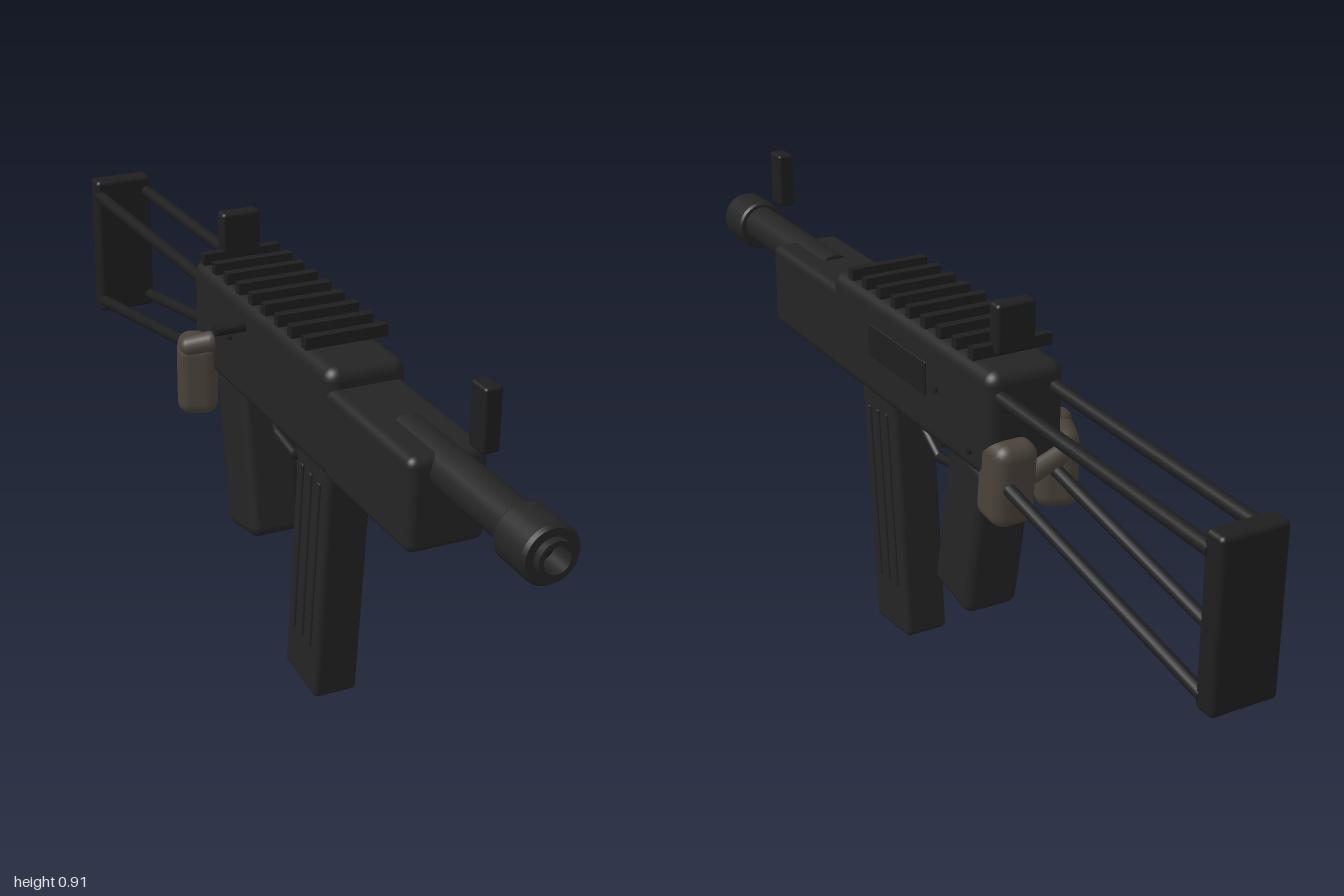
import * as THREE from 'three';
import { RoundedBoxGeometry } from 'three/addons/geometries/RoundedBoxGeometry.js';

const CX = 0.028; // centre plane of the body

export function createModel() {
  const model = new THREE.Group();
  const mat = (name, color) => {
    const m = new THREE.MeshStandardMaterial({ color });
    m.name = name;
    return m;
  };
  const body = mat('charcoal', 0x242424);
  const dark = mat('dark steel', 0x1e1e1e);
  const black = mat('bore black', 0x121212);
  const tan = mat('brown', 0x4a423a);

  const add = (name, geometry, material, x, y, z, parent = model) => {
    const mesh = new THREE.Mesh(geometry, material);
    mesh.name = name;
    mesh.position.set(x, y, z);
    parent.add(mesh);
    return mesh;
  };
  const rbox = (name, w, h, d, r, material, x, y, z, parent) =>
    add(name, new RoundedBoxGeometry(w, h, d, 3, r), material, x, y, z, parent);
  // Round rod between two points
  const rod = (name, a, b, r, material) => {
    const p = new THREE.Vector3(...a), q = new THREE.Vector3(...b);
    const dir = q.clone().sub(p);
    const mid = p.clone().add(q).multiplyScalar(0.5);
    const mesh = add(name, new THREE.CylinderGeometry(r, r, dir.length(), 16), material, mid.x, mid.y, mid.z);
    mesh.quaternion.setFromUnitVectors(new THREE.Vector3(0, 1, 0), dir.normalize());
    return mesh;
  };

  // Receiver and handguard
  rbox('receiver', 0.164, 0.222, 0.66, 0.026, body, 0.029, 0.667, 0.015);
  rbox('handguard', 0.156, 0.184, 0.34, 0.018, body, 0.026, 0.648, 0.49);

  // Barrel and hollow muzzle
  rod('barrel', [CX, 0.708, 0.5], [CX, 0.708, 0.93], 0.041, body);
  const muzzleProfile = [
    [0, 0.885], [0.051, 0.89], [0.055, 0.896], [0.055, 0.978], [0.05, 0.985], [0.035, 0.985],
    [0.035, 1.0], [0.025, 1.0], [0.025, 0.95],
  ].map(([r, z]) => new THREE.Vector2(r, z));
  // Split each profile corner so the steps stay crisp
  for (let i = 0; i < muzzleProfile.length - 1; i++) {
    const ring = add('muzzle', new THREE.LatheGeometry([muzzleProfile[i], muzzleProfile[i + 1]], 32), body, CX, 0.704, 0);
    ring.rotation.x = Math.PI / 2;
  }
  add('bore', new THREE.CircleGeometry(0.025, 24), black, CX, 0.704, 0.951);

  // Top rail slats
  for (let i = 0; i < 9; i++) {
    add('railSlat', new THREE.BoxGeometry(0.171, 0.024, 0.02), dark, CX, 0.8, 0.246 - i * 0.0615);
  }

  // Sights
  rbox('frontSight', 0.034, 0.118, 0.05, 0.006, dark, CX, 0.853, 0.762);
  rbox('rearSight', 0.084, 0.1, 0.034, 0.008, dark, CX, 0.842, -0.253);

  // Side details: charging handle, pins, ejection port
  rod('chargingHandle', [-0.117, 0.727, -0.04], [-0.04, 0.727, -0.04], 0.011, dark);
  for (const [y, z] of [[0.678, -0.11], [0.6, -0.24]]) {
    rod('receiverPin', [-0.06, y, z], [0.116, y, z], 0.007, dark);
  }
  rbox('ejectionPort', 0.008, 0.07, 0.24, 0.003, dark, 0.111, 0.685, 0.05);

  // Raked magazine with side ribs
  const magazine = new THREE.Group();
  magazine.name = 'magazine';
  magazine.position.set(CX, 0.278, 0.185);
  magazine.rotation.x = 0.098;
  model.add(magazine);
  rbox('magazineBody', 0.096, 0.545, 0.146, 0.012, body, 0, 0, 0, magazine);
  for (const side of [-1, 1]) {
    for (const z of [-0.038, 0, 0.038]) {
      rbox('magazineRib', 0.009, 0.39, 0.012, 0.003, body, side * 0.0485, 0.035, z, magazine);
    }
  }

  // Raked pistol grip
  const grip = rbox('grip', 0.12, 0.35, 0.142, 0.022, body, 0.029, 0.392, -0.153);
  grip.rotation.x = -0.19;

  // Trigger and guard
  const guardPoints = [[0.56, 0.09], [0.495, 0.09], [0.457, 0.03], [0.47, -0.062], [0.56, -0.1]]
    .map(([y, z]) => new THREE.Vector3(CX, y, z));
  const guardPath = new THREE.CurvePath();
  for (let i = 0; i < guardPoints.length - 1; i++) {
    guardPath.add(new THREE.LineCurve3(guardPoints[i], guardPoints[i + 1]));
  }
  add('triggerGuard', new THREE.TubeGeometry(guardPath, 64, 0.01, 10), dark, 0, 0, 0);
  const trigger = rbox('trigger', 0.02, 0.08, 0.016, 0.004, dark, CX, 0.53, 0.004);
  trigger.rotation.x = -0.2;

  // Brown rounded rests behind the grip
  const leftRest = rbox('restRight', 0.085, 0.165, 0.105, 0.028, tan, -0.068, 0.545, -0.257);
  leftRest.rotation.y = -0.4;
  const rightRest = rbox('restLeft', 0.09, 0.175, 0.095, 0.028, tan, 0.066, 0.558, -0.302);
  rightRest.rotation.x = -0.1;
  const knob = add('restKnob', new THREE.CapsuleGeometry(0.022, 0.07, 6, 16), tan, -0.005, 0.575, -0.315);
  knob.rotation.z = 1.2;
  const knuckle = add('restKnuckle', new THREE.CapsuleGeometry(0.022, 0.045, 6, 16), tan, -0.075, 0.624, -0.222);
  knuckle.rotation.set(0, -0.4, -1.35);

  // Skeleton stock: four rods and a butt plate
  for (const x of [-0.03, 0.086]) {
    rod('upperStockRod', [x, 0.73, -0.3], [x, 0.717, -0.96], 0.014, dark);
    rod('lowerStockRod', [x, 0.567, -0.29], [x, 0.451, -0.96], 0.013, dark);
  }
  rbox('buttPlate', 0.136, 0.33, 0.048, 0.01, dark, CX, 0.59, -0.974);

  return model;
}
